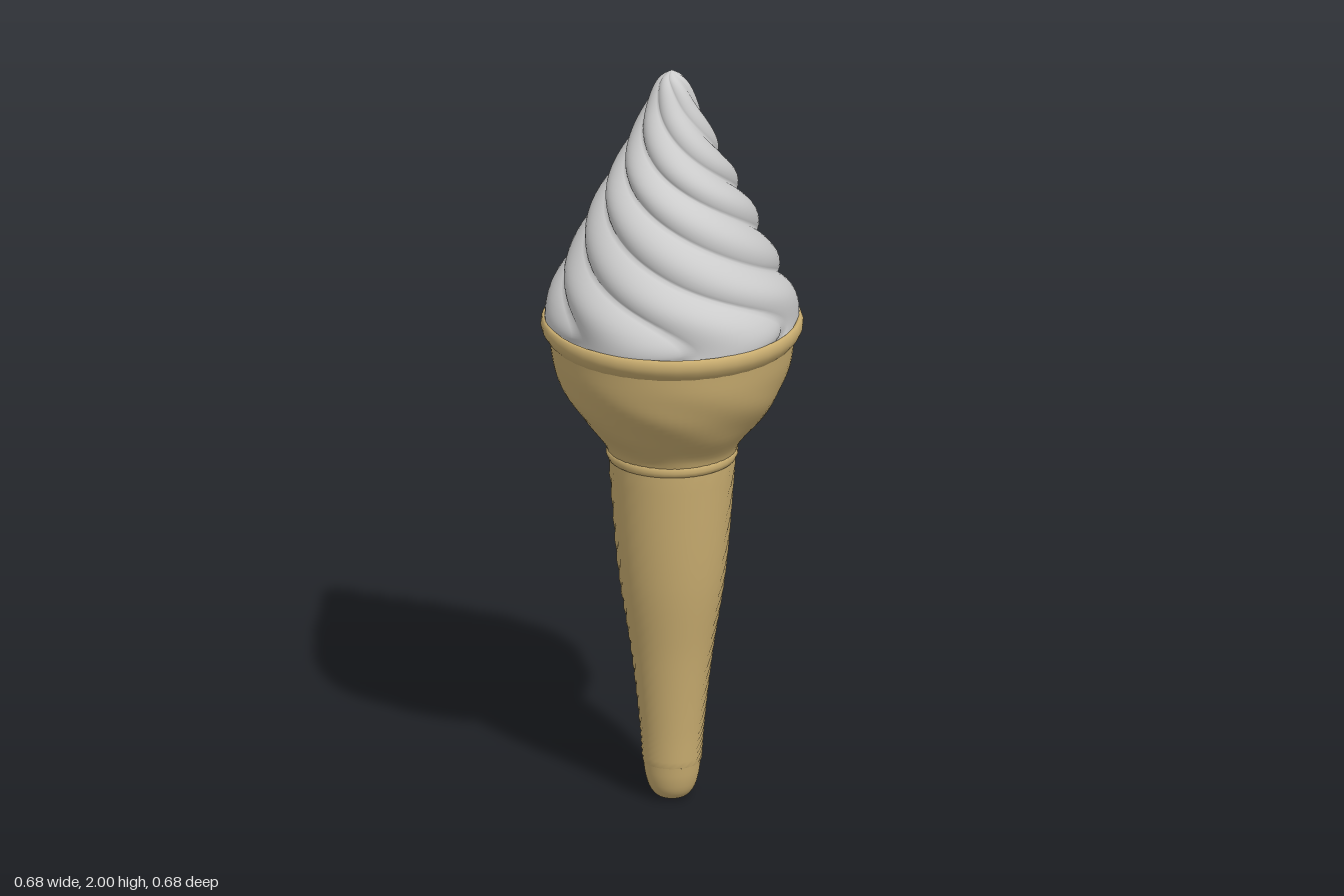
import * as THREE from 'three';

const waferMat = new THREE.MeshStandardMaterial({ color: 0xc9ad70, side: THREE.DoubleSide });
const creamMat = new THREE.MeshStandardMaterial({ color: 0xcccccc, side: THREE.DoubleSide });

// Closed-around skin: at(v, u) gives { r, y, a } for v, u in 0..1 (v runs upwards).
function skin(rows, cols, at) {
  const pos = [], index = [];
  for (let i = 0; i <= rows; i++) {
    for (let j = 0; j < cols; j++) {
      const { r, y, a } = at(i / rows, j / cols, i, j);
      pos.push(r * Math.cos(a), y, -r * Math.sin(a));
      if (i === rows) continue;
      const k = (j + 1) % cols;
      const p = i * cols + j, q = i * cols + k;
      index.push(p, q, q + cols, p, q + cols, p + cols);
    }
  }
  const geo = new THREE.BufferGeometry();
  geo.setAttribute('position', new THREE.Float32BufferAttribute(pos, 3));
  geo.setIndex(index);
  geo.computeVertexNormals();
  return geo;
}

// Smooth profile through [radius, height] points.
const profile = (pts) => new THREE.CatmullRomCurve3(
  pts.map(([r, y]) => new THREE.Vector3(r, y, 0)), false, 'centripetal');

const lathe = (pts, segs) => new THREE.LatheGeometry(
  pts.map(([r, y]) => new THREE.Vector2(r, y)), segs);

function add(group, name, geo, mat) {
  const mesh = new THREE.Mesh(geo, mat);
  mesh.name = name;
  group.add(mesh);
}

export function createModel() {
  const group = new THREE.Group();
  group.name = 'softServeCone';
  const TAU = Math.PI * 2;

  // Plain rounded tip
  const tip = profile([[0, 0], [0.035, 0.004], [0.056, 0.025], [0.068, 0.06], [0.074, 0.1]]);
  add(group, 'coneTip', lathe(tip.getPoints(14).map((p) => [Math.max(p.x, 0), p.y]), 36), waferMat);

  // Tapered stem with a shallow diamond waffle relief
  const stem = profile([[0.074, 0.1], [0.081, 0.2], [0.103, 0.4], [0.136, 0.62], [0.163, 0.95]]);
  add(group, 'waffleStem', skin(44, 40, (v, u, i, j) => {
    const p = stem.getPoint(v);
    const bump = i > 0 && i < 44 && (i + j) % 2 ? 0.003 : 0;
    return { r: p.x + bump, y: p.y, a: u * TAU };
  }), waferMat);

  // Thin collar between stem and cup
  add(group, 'collar', lathe([[0.155, 0.935], [0.165, 0.938], [0.17, 0.95], [0.168, 0.965], [0.15, 0.97]], 40), waferMat);

  // Cup with faint slanting ripples
  const cup = profile([[0.163, 0.95], [0.177, 0.985], [0.232, 1.055], [0.28, 1.13], [0.305, 1.2], [0.318, 1.28]]);
  add(group, 'cup', skin(24, 72, (v, u) => {
    const p = cup.getPoint(v), a = u * TAU;
    const ripple = 0.003 * Math.sin(Math.PI * v) ** 2 * Math.sin(6 * a + 14 * v);
    return { r: p.x + ripple, y: p.y, a };
  }), waferMat);

  // Rolled rim
  const rim = profile([[0.316, 1.265], [0.327, 1.278], [0.336, 1.295], [0.337, 1.312], [0.331, 1.324], [0.322, 1.322], [0.314, 1.29]]);
  add(group, 'cupRim', lathe(rim.getPoints(18).map((p) => [p.x, p.y]), 40), waferMat);

  // Six-lobed twisted swirl; grid columns follow the creases
  const lobes = 6, outer = 0.33;
  const swirl = profile([[0.318, 1.285], [0.328, 1.33], [0.318, 1.385], [0.266, 1.5], [0.2, 1.645],
    [0.128, 1.785], [0.075, 1.895], [0.035, 1.975], [0, 2]]);
  add(group, 'creamSwirl', skin(64, lobes * 14, (v, u) => {
    const p = swirl.getPoint(v), r = Math.max(p.x, 0);
    const lobe = Math.abs(Math.sin(Math.PI * lobes * u)) ** 0.8;
    const depth = Math.min(0.026, r * 0.16);
    const twist = THREE.MathUtils.degToRad(11) - ((outer - r) / outer) * TAU;
    return { r: r - depth * (1 - lobe), y: p.y, a: u * TAU + twist };
  }), creamMat);

  return group;
}
